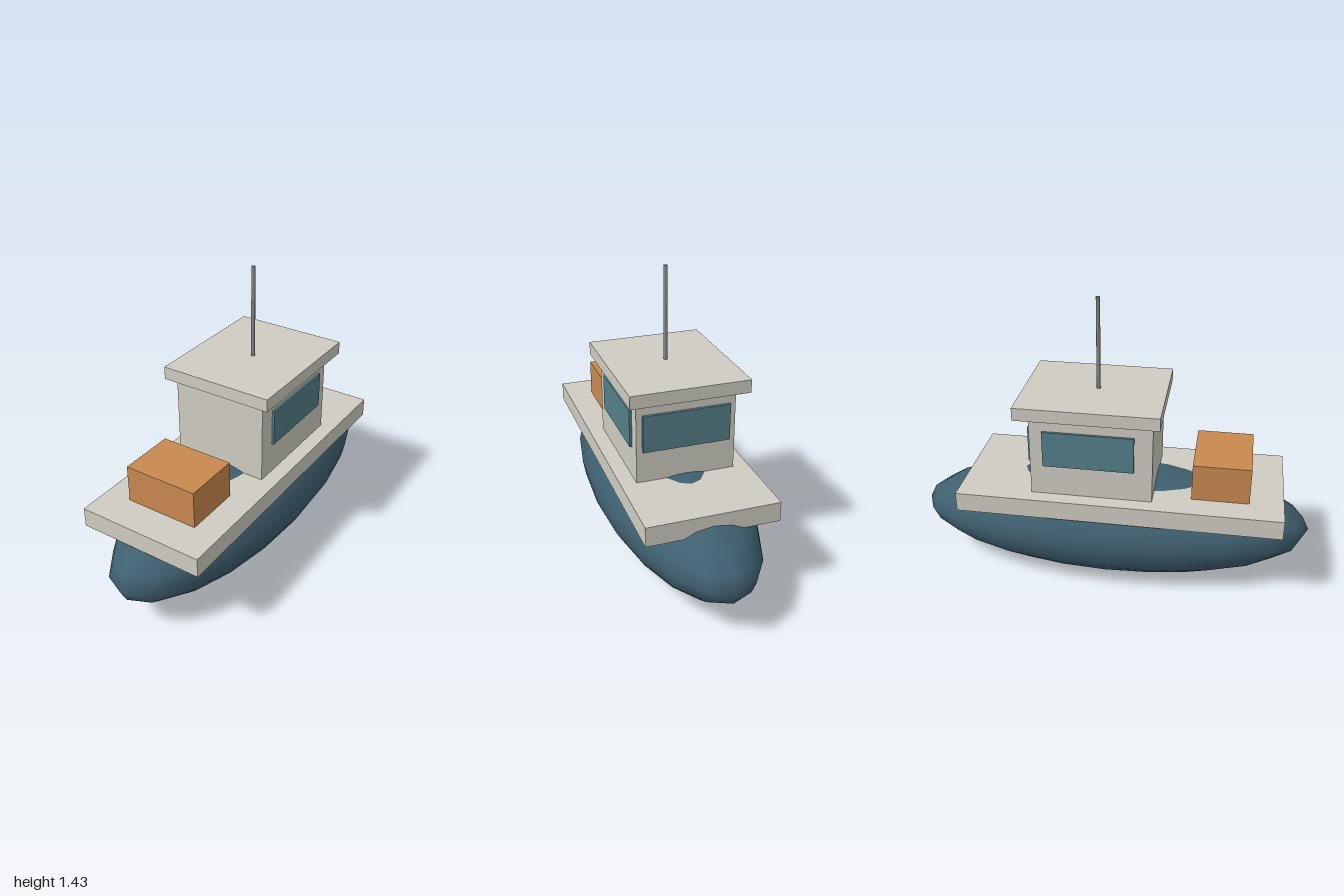
import * as THREE from 'three';

const material = (name, color) => {
  const m = new THREE.MeshStandardMaterial({ color });
  m.name = name;
  return m;
};

export function createModel() {
  const boat = new THREE.Group();
  boat.name = 'boat';

  const hullBlue = material('hull blue', 0x3f6070);
  const cream = material('cream', 0xcfcdc2);
  const glass = material('window teal', 0x547f89);
  const orange = material('cargo orange', 0xc9894f);
  const grey = material('mast grey', 0x858886);

  const add = (name, geometry, mat) => {
    const mesh = new THREE.Mesh(geometry, mat);
    mesh.name = name;
    boat.add(mesh);
    return mesh;
  };

  // Box given by its limits along each axis
  const block = (name, mat, [x0, x1], [y0, y1], [z0, z1]) => {
    const mesh = add(name, new THREE.BoxGeometry(x1 - x0, y1 - y0, z1 - z0), mat);
    mesh.position.set((x0 + x1) / 2, (y0 + y1) / 2, (z0 + z1) / 2);
    return mesh;
  };

  // Hull: long smooth ellipsoid whose crown rises through the deck
  const hull = add('hull', new THREE.SphereGeometry(1, 20, 12), hullBlue);
  hull.scale.set(0.355, 0.266, 1);
  hull.position.y = 0.267;

  // Deck, wheelhouse and overhanging roof
  block('deck', cream, [-0.318, 0.318], [0.405, 0.502], [-0.736, 0.855]);
  block('wheelhouse', cream, [-0.242, 0.242], [0.502, 0.912], [-0.37, 0.224]);
  block('roof', cream, [-0.288, 0.288], [0.912, 0.976], [-0.435, 0.26]);

  // Windows: one on each side and one at the back
  for (const side of [-1, 1]) {
    const pane = block('sideWindow', glass, [-0.006, 0.006], [0.66, 0.843], [-0.306, 0.136]);
    pane.position.x = side * 0.248;
  }
  block('rearWindow', glass, [-0.213, 0.213], [0.66, 0.843], [-0.384, -0.37]);

  // Cargo box on the foredeck
  block('cargoBox', orange, [-0.185, 0.185], [0.502, 0.688], [0.41, 0.69]);

  // Mast on the roof
  const mast = add('mast', new THREE.CylinderGeometry(0.01, 0.01, 0.46, 8), grey);
  mast.position.set(0, 1.206, -0.074);

  return boat;
}
